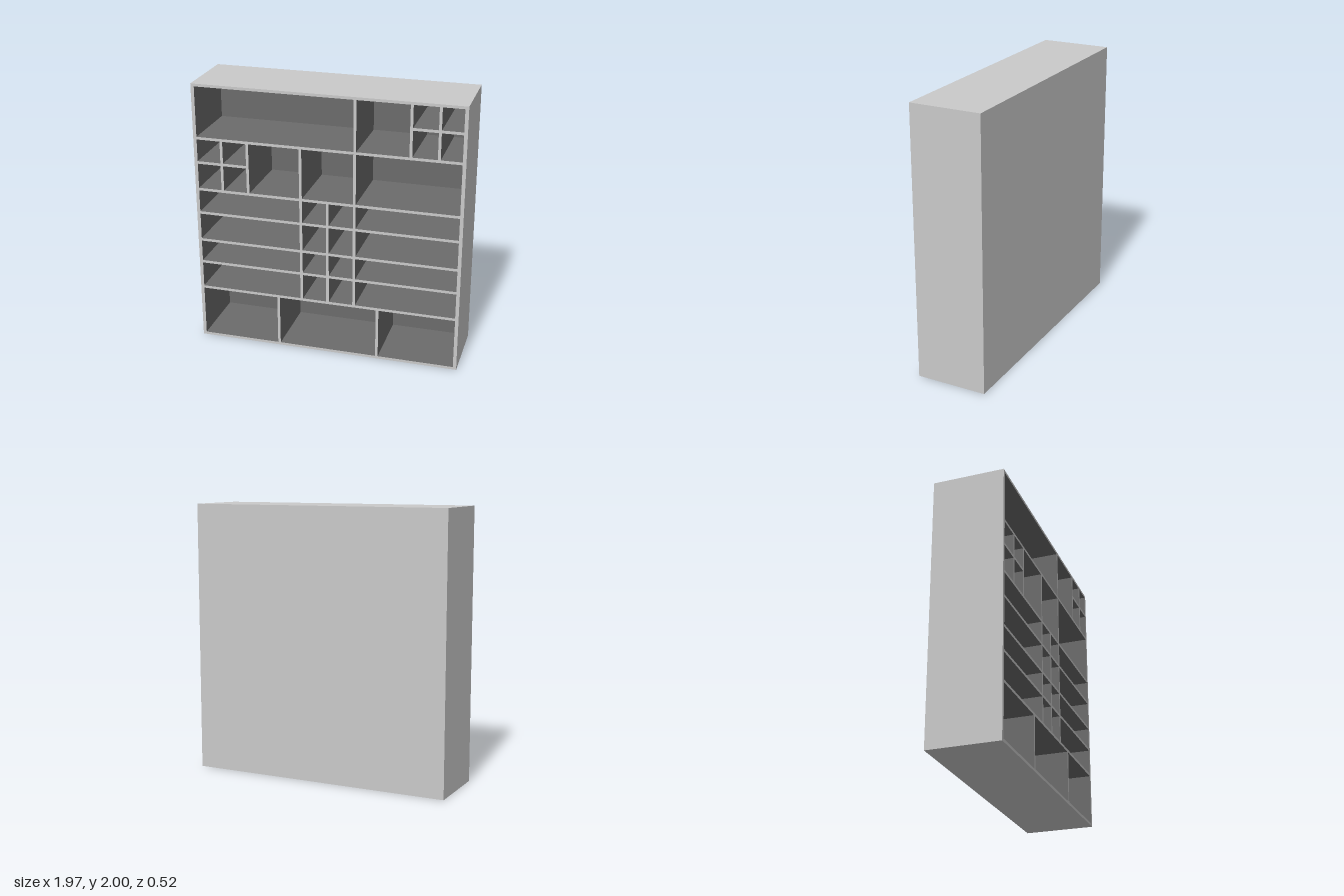
import * as THREE from 'three';

const W = 0.985, H = 2, D = 0.262;        // half width, height, half depth
const SIDE = 0.025, T = 0.02, BACK = 0.025; // panel thicknesses
const IN = W - SIDE;                      // inner half width

export function createModel() {
  const light = new THREE.MeshStandardMaterial({ name: 'light grey', color: 0xcacaca });
  const dark = new THREE.MeshStandardMaterial({ name: 'dark grey lining', color: 0x6b6b6b });
  const group = new THREE.Group();
  group.name = 'shelfUnit';

  // Board between two corners; the listed faces are light, the rest lining
  const faces = ['+x', '-x', '+y', '-y', '+z', '-z'];
  function board(name, x0, x1, y0, y1, z0, z1, lightFaces) {
    const mesh = new THREE.Mesh(
      new THREE.BoxGeometry(x1 - x0, y1 - y0, z1 - z0),
      faces.map((f) => (lightFaces.includes(f) ? light : dark)));
    mesh.position.set((x0 + x1) / 2, (y0 + y1) / 2, (z0 + z1) / 2);
    mesh.name = name;
    group.add(mesh);
  }

  // Outer case
  board('leftSide', IN, W, 0, H, -D, D, ['+x', '+y', '-y', '+z', '-z']);
  board('rightSide', -W, -IN, 0, H, -D, D, ['-x', '+y', '-y', '+z', '-z']);
  board('topPanel', -IN, IN, H - T, H, -D, D, ['+y', '+z', '-z']);
  board('bottomPanel', -IN, IN, 0, T, -D, D, ['-y', '+z', '-z']);
  board('backPanel', -IN, IN, T, H - T, -D, -D + BACK, ['-z']);

  const shelf = (name, x0, x1, y) =>
    board(name, x0, x1, y - T / 2, y + T / 2, -D + BACK, D, ['+z']);
  const divider = (name, x, y0, y1, t = T) =>
    board(name, x - t / 2, x + t / 2, y0, y1, -D + BACK, D, ['+z']);

  // Full-width shelves, bottom to top
  const levels = [0.41, 0.622, 0.802, 1.02, 1.205, 1.597];
  levels.forEach((y) => shelf('shelf', -IN, IN, y));

  // Upright dividers in each row between shelves
  const middle = [-0.186, 0.012, 0.21];
  const rows = [
    [-0.368, 0.387],
    middle, middle, middle, middle,
    [-0.775, -0.58, -0.186, 0.21],
    [0.21, 0.604, 0.8],
  ];
  const edges = [T / 2, ...levels, H - T / 2];
  rows.forEach((xs, i) => xs.forEach((x) =>
    divider('divider', x, edges[i] + T / 2, edges[i + 1] - T / 2)));

  // Short shelves of the two small four-part cubbies
  const h = T / 2;
  shelf('cubbyShelf', -IN, -0.775 - h, 1.412);
  shelf('cubbyShelf', -0.775 + h, -0.58 - h, 1.412);
  shelf('cubbyShelf', 0.604 + h, 0.8 - h, 1.809);
  shelf('cubbyShelf', 0.8 + h, IN, 1.809);

  return group;
}
